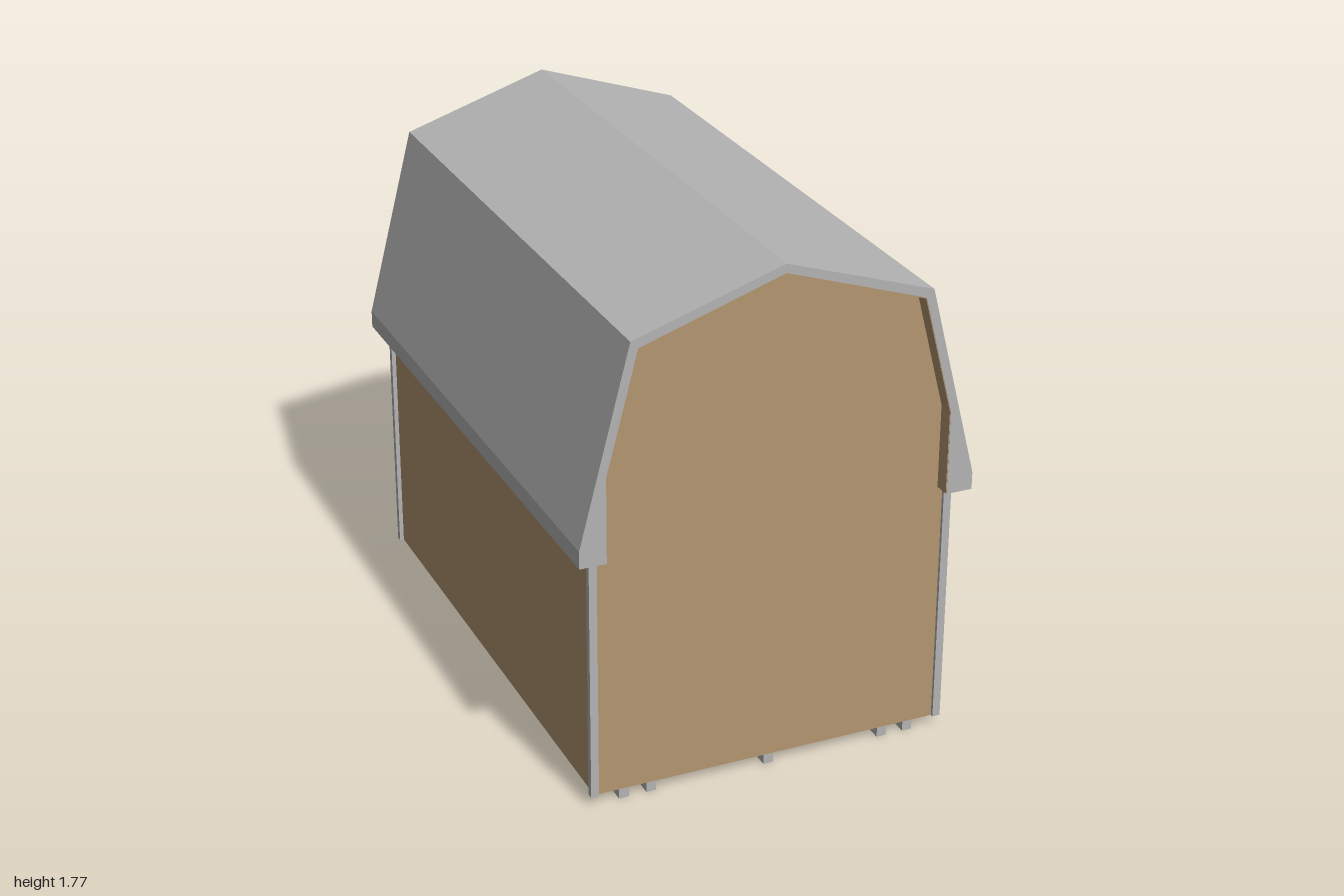
import * as THREE from 'three';

export function createModel() {
  const group = new THREE.Group();
  group.name = 'barnShed';

  const wood = new THREE.MeshStandardMaterial({ color: 0xb49671, side: THREE.DoubleSide });
  wood.name = 'tan siding';
  const grey = new THREE.MeshStandardMaterial({ color: 0xb4b4b4 });
  grey.name = 'grey metal';

  const add = (name, geometry, material, x = 0, y = 0, z = 0) => {
    const mesh = new THREE.Mesh(geometry, material);
    mesh.name = name;
    mesh.position.set(x, y, z);
    group.add(mesh);
  };

  // Mirror a right-half profile (eave to ridge) into a full arch
  const arch = (half) => [...half, ...half.slice(0, -1).reverse().map(([x, y]) => [-x, y])];
  const toShape = (points) => new THREE.Shape(points.map(([x, y]) => new THREE.Vector2(x, y)));
  const extrude = (points, depth) =>
    new THREE.ExtrudeGeometry(toShape(points), { depth, bevelEnabled: false }).translate(0, 0, -depth / 2);

  // Gambrel roof shell with boxed eaves
  const outer = arch([[0.675, 0.89], [0.675, 0.95], [0.505, 1.61], [0, 1.775]]);
  const inner = arch([[0.585, 0.89], [0.585, 1.18], [0.48, 1.585], [0, 1.745]]);
  add('roof', extrude([...outer, ...inner.slice().reverse()], 2), grey);

  // Thin wooden lining on the underside of the roof
  const lining = arch([[0.582, 0.891], [0.582, 1.18], [0.478, 1.582], [0, 1.742]]);
  add('roofLining', extrude([...inner, ...lining.reverse()], 1.998), wood);

  // Gable ends and side walls, open underneath
  const gable = arch([[0.612, 0.035], [0.612, 0.95], [0.595, 1.18], [0.49, 1.592], [0, 1.757]]);
  for (const s of [1, -1]) {
    const end = new THREE.ShapeGeometry(toShape(gable));
    if (s < 0) end.rotateY(Math.PI);
    add(s > 0 ? 'frontGable' : 'backGable', end, wood, 0, 0, s * 0.945);

    const wall = new THREE.PlaneGeometry(1.89, 0.9).rotateY(s * Math.PI / 2);
    add(s > 0 ? 'leftWall' : 'rightWall', wall, wood, s * 0.612, 0.485, 0);

    // Corner trim
    for (const e of [1, -1]) {
      add('cornerTrim', new THREE.BoxGeometry(0.027, 0.875, 0.022), grey, s * 0.6135, 0.4725, e * 0.945);
    }
  }

  // Skids under the building
  for (const x of [-0.51, -0.415, 0, 0.415, 0.51]) {
    add('skid', new THREE.BoxGeometry(0.034, 0.035, 1.89), grey, x, 0.0175, 0);
  }

  return group;
}
